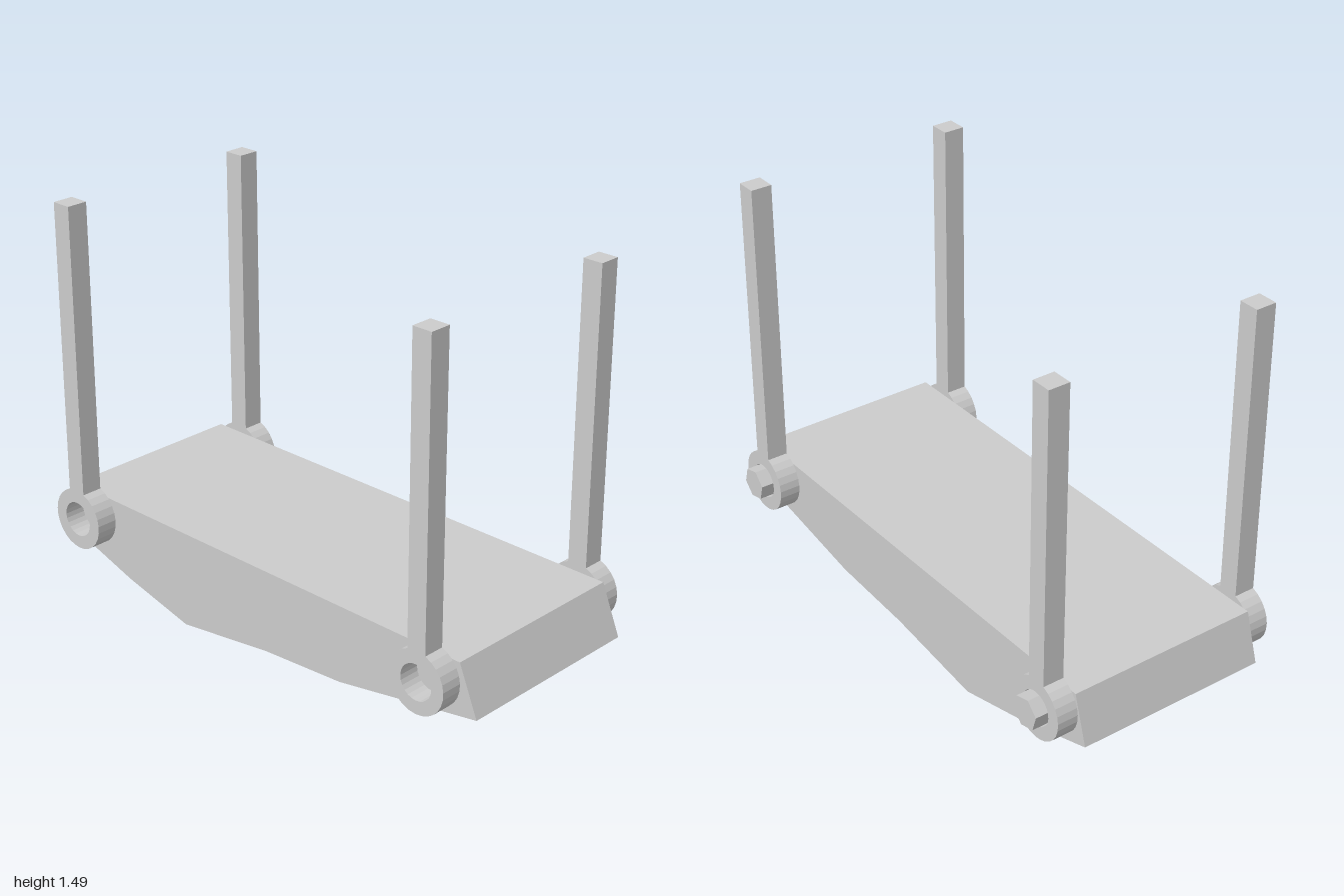
import * as THREE from 'three';

const material = new THREE.MeshStandardMaterial({ color: 0xcccccc, flatShading: true });

// Extrude a (z, y) outline sideways from xMin to xMax
function extrudeAcross(shape, xMin, xMax, name) {
  const geometry = new THREE.ExtrudeGeometry(shape, {
    depth: xMax - xMin, bevelEnabled: false, curveSegments: 12,
  });
  geometry.rotateY(-Math.PI / 2).translate(xMax, 0, 0);
  const mesh = new THREE.Mesh(geometry, material);
  mesh.name = name;
  return mesh;
}

export function createModel() {
  const model = new THREE.Group();
  model.name = 'hangingPlatform';

  // Platform with a flat top and a faceted belly
  const profile = [
    [0.925, 0.367], [-0.945, 0.367], [-1, 0.185], [-0.66, 0.075],
    [-0.36, 0], [0.05, 0.055], [0.4, 0.078], [1, 0.185],
  ].map(([z, y]) => new THREE.Vector2(z, y));
  model.add(extrudeAcross(new THREE.Shape(profile), -0.39, 0.345, 'platform'));

  const pivotY = 0.282, ringRadius = 0.116, holeRadius = 0.066;
  const rodHalf = 0.038, topY = 1.485;
  const neck = Math.asin(rodHalf / ringRadius);

  for (const [end, z] of [['front', 0.812], ['back', -0.843]]) {
    // Hanger: square rod ending in a ring with an open eye
    const hanger = new THREE.Shape();
    hanger.moveTo(z + rodHalf, topY);
    hanger.lineTo(z - rodHalf, topY);
    hanger.absarc(z, pivotY, ringRadius, Math.PI / 2 + neck, Math.PI * 2.5 - neck, false);
    hanger.closePath();
    const eye = new THREE.Path();
    eye.absarc(z, pivotY, holeRadius, 0, Math.PI * 2, true);
    hanger.holes.push(eye);

    model.add(extrudeAcross(hanger, 0.345, 0.425, end + 'LeftHanger'));
    model.add(extrudeAcross(hanger, -0.47, -0.39, end + 'RightHanger'));

    // Six-sided pin standing out through the eye on the left side
    const pin = new THREE.Mesh(new THREE.CylinderGeometry(0.061, 0.061, 0.14, 6), material);
    pin.name = end + 'Pin';
    pin.geometry.rotateZ(Math.PI / 2).rotateX(0.25);
    pin.position.set(0.4, pivotY + 0.003, z);
    model.add(pin);
  }
  return model;
}
